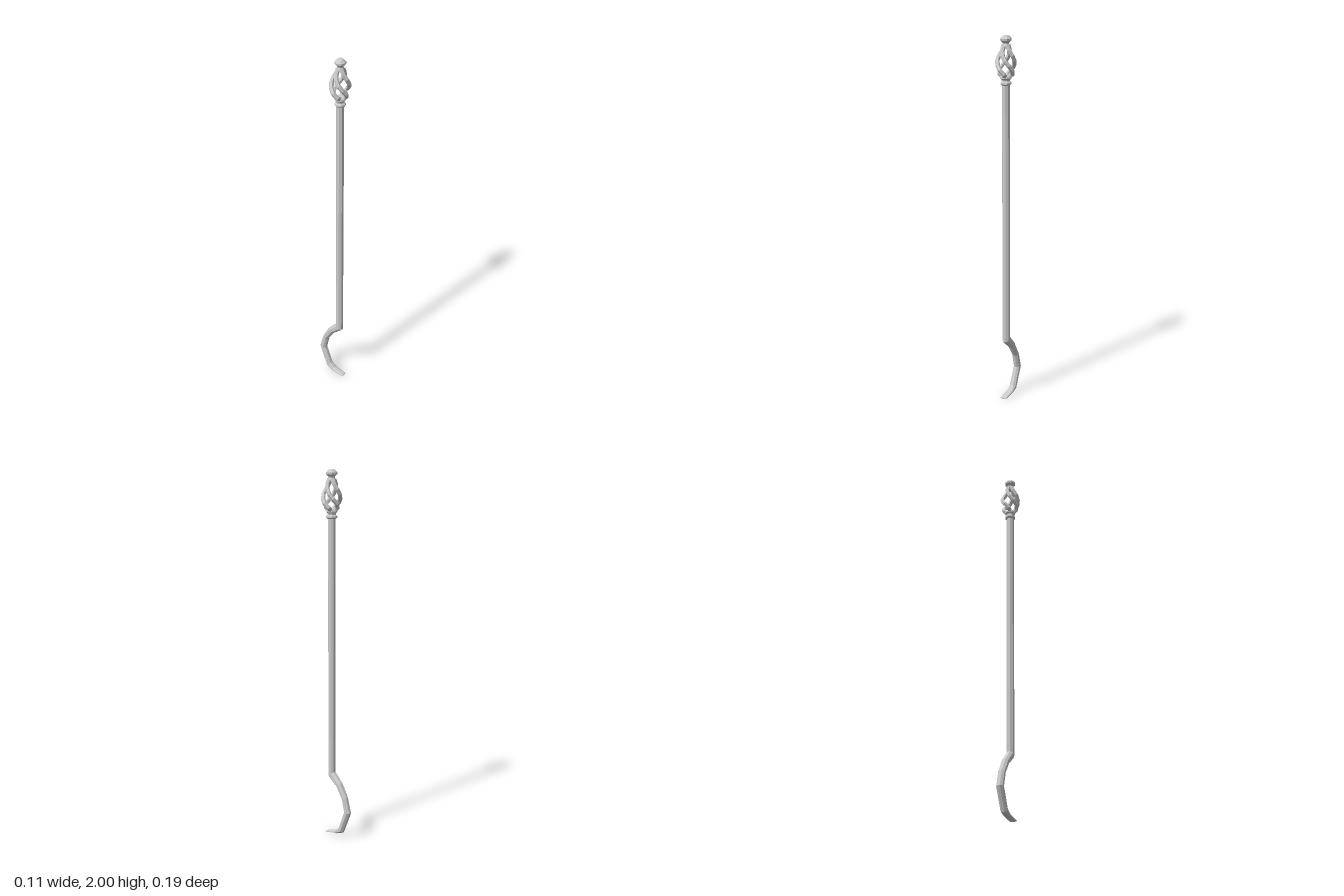
import * as THREE from 'three';

const SIDES = 8;
const SHAFT_Z = 0.04;
const metal = new THREE.MeshStandardMaterial({ color: 0xcccccc, flatShading: true });

// Skin a list of rings (each an array of Vector3, ordered top to bottom) and cap both ends.
function loft(rings) {
  const n = rings[0].length;
  const positions = rings.flat().flatMap((p) => [p.x, p.y, p.z]);
  const index = [];
  for (let i = 0; i < rings.length - 1; i++) {
    for (let j = 0; j < n; j++) {
      const k = (j + 1) % n;
      const a = i * n + j, b = i * n + k, c = a + n, d = b + n;
      index.push(c, d, a, d, b, a);
    }
  }
  const last = (rings.length - 1) * n;
  for (let j = 1; j < n - 1; j++) {
    index.push(0, j, j + 1);
    index.push(last, last + j + 1, last + j);
  }
  const geometry = new THREE.BufferGeometry();
  geometry.setAttribute('position', new THREE.Float32BufferAttribute(positions, 3));
  geometry.setIndex(index);
  geometry.computeVertexNormals();
  return geometry;
}

function addMesh(parent, name, geometry) {
  const mesh = new THREE.Mesh(geometry, metal);
  mesh.name = name;
  parent.add(mesh);
}

// Turned part from [radius, y] pairs, bottom to top
function turned(profile) {
  return new THREE.LatheGeometry(profile.map(([r, y]) => new THREE.Vector2(r, y)), SIDES);
}

export function createModel() {
  const model = new THREE.Group();
  model.name = 'firePoker';

  // Bar sections: back z, back y, front z, front y, half width
  const sections = [
    [0.021, 1.76, 0.059, 1.76, 0.019],
    [0.02, 0.357, 0.059, 0.332, 0.019],
    [-0.03, 0.304, 0.0, 0.28, 0.019],
    [-0.071, 0.23, -0.039, 0.218, 0.018],
    [-0.094, 0.145, -0.056, 0.145, 0.018],
    [-0.042, 0.022, -0.018, 0.048, 0.018],
    [0.0, 0.008, 0.005, 0.026, 0.018],
    [0.073, 0.0, 0.074, 0.006, 0.018],
  ];
  // Octagon with its flats facing the axes
  const flat = 1 / Math.cos(Math.PI / SIDES);
  const rings = sections.map(([bz, by, fz, fy, w]) =>
    Array.from({ length: SIDES }, (_, j) => {
      const a = ((j + 0.5) / SIDES) * Math.PI * 2;
      const s = (flat * Math.sin(a)) / 2;
      return new THREE.Vector3(
        w * flat * Math.cos(a),
        Math.max(0, (by + fy) / 2 + (by - fy) * s),
        (bz + fz) / 2 + (bz - fz) * s
      );
    })
  );
  addMesh(model, 'shaftAndHook', loft(rings));

  const handle = new THREE.Group();
  handle.name = 'handle';
  handle.position.z = SHAFT_Z;
  model.add(handle);

  // Collar under the basket
  addMesh(handle, 'collar', turned([
    [0, 1.742], [0.022, 1.742], [0.029, 1.749], [0.029, 1.757], [0.022, 1.764],
    [0.023, 1.771], [0.03, 1.778], [0.029, 1.787], [0.018, 1.797], [0, 1.797],
  ]));

  // Four twisted basket bars: radius, y, turn in degrees
  const bars = 4;
  const barPath = [
    [0.012, 1.782, -40], [0.034, 1.8, -15], [0.045, 1.822, 10], [0.045, 1.85, 42],
    [0.042, 1.882, 74], [0.028, 1.914, 100], [0.012, 1.95, 125],
  ];
  for (let b = 0; b < bars; b++) {
    const points = barPath.map(([r, y, turn]) => {
      const a = (b / bars) * Math.PI * 2 + THREE.MathUtils.degToRad(turn);
      return new THREE.Vector3(r * Math.cos(a), y, r * Math.sin(a));
    });
    const curve = new THREE.CatmullRomCurve3(points);
    addMesh(handle, 'basketBar' + (b + 1), new THREE.TubeGeometry(curve, 7, 0.0118, 6, false));
  }

  // Neck ring and faceted top knob
  addMesh(handle, 'knob', turned([
    [0, 1.932], [0.018, 1.935], [0.022, 1.944], [0.016, 1.954], [0.017, 1.96],
    [0.029, 1.972], [0.03, 1.982], [0.016, 1.997], [0, 2.0],
  ]));

  return model;
}
